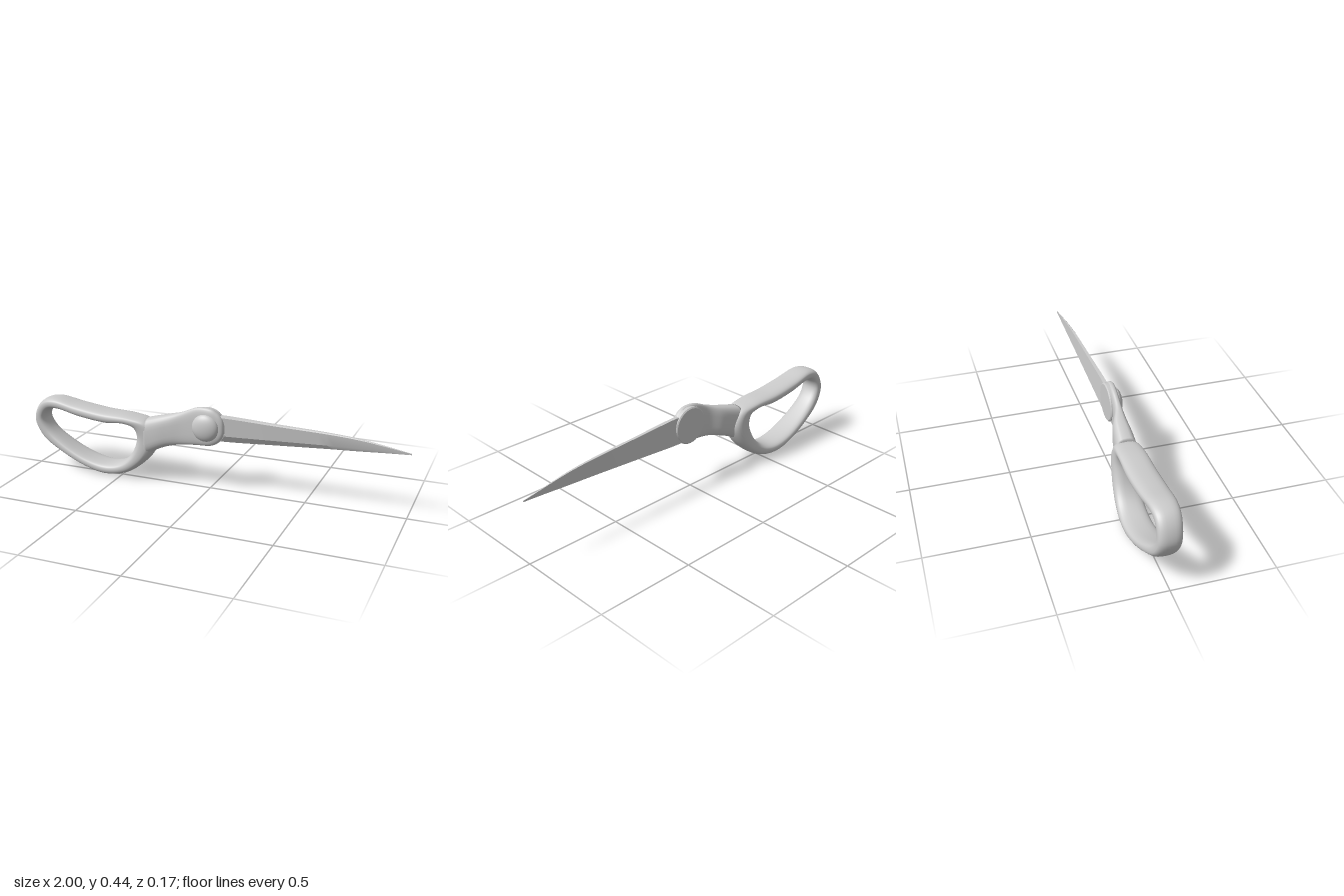
import * as THREE from 'three';
import { mergeVertices, toCreasedNormals } from 'three/addons/utils/BufferGeometryUtils.js';

const V = (x, y, z = 0) => new THREE.Vector3(x, y, z);
const material = new THREE.MeshStandardMaterial({ color: 0xcccccc });

// Skin a list of closed cross-sections; `loop` joins the last one to the first
function loft(rings, loop, creaseAngle) {
  const n = rings[0].length;
  if (!loop) {
    const cap = (r) => {
      const c = r.reduce((s, p) => s.add(p), V(0, 0)).divideScalar(n);
      return r.map(() => c.clone());
    };
    rings = [cap(rings[0]), ...rings, cap(rings[rings.length - 1])];
  }
  const m = rings.length, pts = rings.flat(), index = [];
  for (let i = 0; i < (loop ? m : m - 1); i++) {
    for (let j = 0; j < n; j++) {
      const a = i * n + j, b = i * n + (j + 1) % n;
      const c = ((i + 1) % m) * n + j, d = ((i + 1) % m) * n + (j + 1) % n;
      index.push(a, c, b, b, c, d);
    }
  }
  // Turn the faces outward if the enclosed volume comes out negative
  let volume = 0;
  for (let i = 0; i < index.length; i += 3) {
    volume += pts[index[i]].dot(pts[index[i + 1]].clone().cross(pts[index[i + 2]]));
  }
  if (volume < 0) index.reverse();
  let g = new THREE.BufferGeometry().setFromPoints(pts);
  g.setIndex(index);
  g = mergeVertices(g, 1e-5);
  if (creaseAngle) return toCreasedNormals(g, creaseAngle);
  g.computeVertexNormals();
  return g;
}

// Rounded-rectangle-like section: calls place(u, v) with u, v in -1..1
function section(count, power, place) {
  return Array.from({ length: count }, (_, i) => {
    const a = (i / count) * Math.PI * 2;
    const f = (t) => Math.sign(t) * Math.pow(Math.abs(t), 2 / power);
    return place(f(Math.cos(a)), f(Math.sin(a)));
  });
}

// Smoothly resample rows of numbers, columns taken three at a time
function resample(rows, steps) {
  const curves = [0, 3].map((k) => new THREE.CatmullRomCurve3(
    rows.map((r) => V(r[k], r[k + 1] ?? 0, r[k + 2] ?? 0)), false, 'catmullrom', 0.5));
  return Array.from({ length: steps + 1 }, (_, i) =>
    curves.flatMap((c) => c.getPoint(i / steps).toArray()));
}

// Finger loop: outer and inner contour points in pairs
function handleLoop() {
  const pairs = [
    [-0.997, 0.25, -0.933, 0.265], [-0.98, 0.325, -0.925, 0.3], [-0.935, 0.375, -0.9, 0.325],
    [-0.87, 0.392, -0.85, 0.332], [-0.74, 0.372, -0.71, 0.305], [-0.58, 0.352, -0.56, 0.29],
    [-0.42, 0.343, -0.465, 0.298], [-0.32, 0.318, -0.415, 0.28], [-0.28, 0.24, -0.4, 0.23],
    [-0.32, 0.145, -0.425, 0.15], [-0.39, 0.07, -0.47, 0.095], [-0.47, 0.02, -0.52, 0.069],
    [-0.59, 0.0, -0.585, 0.06], [-0.71, 0.028, -0.69, 0.08], [-0.845, 0.09, -0.815, 0.14],
    [-0.95, 0.16, -0.905, 0.21],
  ];
  const outer = new THREE.CatmullRomCurve3(pairs.map((p) => V(p[0], p[1])), true);
  const inner = new THREE.CatmullRomCurve3(pairs.map((p) => V(p[2], p[3])), true);
  const rings = [];
  for (let i = 0; i < 96; i++) {
    const o = outer.getPoint(i / 96), n = inner.getPoint(i / 96);
    const mid = o.clone().add(n).multiplyScalar(0.5);
    const half = o.clone().sub(n).multiplyScalar(0.5);
    // Widest at mid length, and leaning forward toward the top
    const width = 0.07 - 0.12 * Math.pow(mid.x + 0.62, 2);
    const lean = -0.017 + 0.06 * mid.y;
    rings.push(section(28, 2.6, (u, v) =>
      mid.clone().addScaledVector(half, u).setZ(lean + width * v)));
  }
  return loft(rings, true);
}

// Neck from the loop to the rounded pivot end
function neck() {
  // x, bottom, top, back, front
  const rows = [
    [-0.345, 0.145, 0.338, -0.046, 0.062], [-0.27, 0.186, 0.36, -0.036, 0.06],
    [-0.21, 0.21, 0.377, -0.024, 0.055], [-0.14, 0.228, 0.4, 0.004, 0.05],
    [-0.06, 0.237, 0.434, 0.008, 0.052], [0.01, 0.243, 0.437, 0.01, 0.056],
    [0.05, 0.26, 0.418, 0.01, 0.053], [0.075, 0.288, 0.39, 0.01, 0.047],
    [0.087, 0.322, 0.355, 0.014, 0.036],
  ];
  const rings = resample(rows, 48).map(([x, lo, hi, back, front]) =>
    section(32, 3, (u, v) =>
      V(x, (lo + hi) / 2 + u * (hi - lo) / 2, (back + front) / 2 + v * (front - back) / 2)));
  return loft(rings, false);
}

// Blade: thick spine on top, bevel on the front, cutting edge below
function blade() {
  // x, edge y, spine y, spine back z, spine front z
  const rows = [
    [-0.03, 0.262, 0.4, 0.01, 0.034], [0.1, 0.264, 0.403, 0.01, 0.033],
    [0.35, 0.281, 0.392, 0.008, 0.027], [0.6, 0.298, 0.382, 0.004, 0.02],
    [0.75, 0.307, 0.37, 0.002, 0.014], [0.88, 0.316, 0.35, 0, 0.008],
    [1.0, 0.323, 0.329, -0.001, 0.003],
  ];
  const rings = resample(rows, 30).map(([x, lo, hi, back, front]) => {
    const h = hi - lo;
    return [V(x, lo, back * 0.2), V(x, lo, back * 0.2 + 0.003), V(x, lo + h * 0.25, front * 0.75),
      V(x, hi - h * 0.06, front), V(x, hi, front - 0.003), V(x, hi, back)];
  });
  return loft(rings, false, 0.4);
}

// Flat bearing disc behind the pivot
function pivotDisc() {
  const r = 0.098;
  const profile = [[0, 0], [r - 0.006, 0], [r, 0.005], [r, 0.03], [0, 0.03]];
  const g = new THREE.LatheGeometry(profile.map((p) => new THREE.Vector2(...p)), 48);
  return toCreasedNormals(g.rotateX(Math.PI / 2), 0.5).translate(-0.008, 0.337, 0);
}

// Domed button on the front
function pivotButton() {
  const g = new THREE.SphereGeometry(0.07, 40, 12, 0, Math.PI * 2, 0, Math.PI / 2);
  return g.rotateX(Math.PI / 2).scale(1, 1, 0.47).translate(-0.008, 0.338, 0.05);
}

export function createModel() {
  const group = new THREE.Group();
  group.name = 'scissorHalf';
  const parts = { handleLoop, neck, blade, pivotDisc, pivotButton };
  for (const [name, build] of Object.entries(parts)) {
    const mesh = new THREE.Mesh(build(), material);
    mesh.name = name;
    group.add(mesh);
  }
  return group;
}
